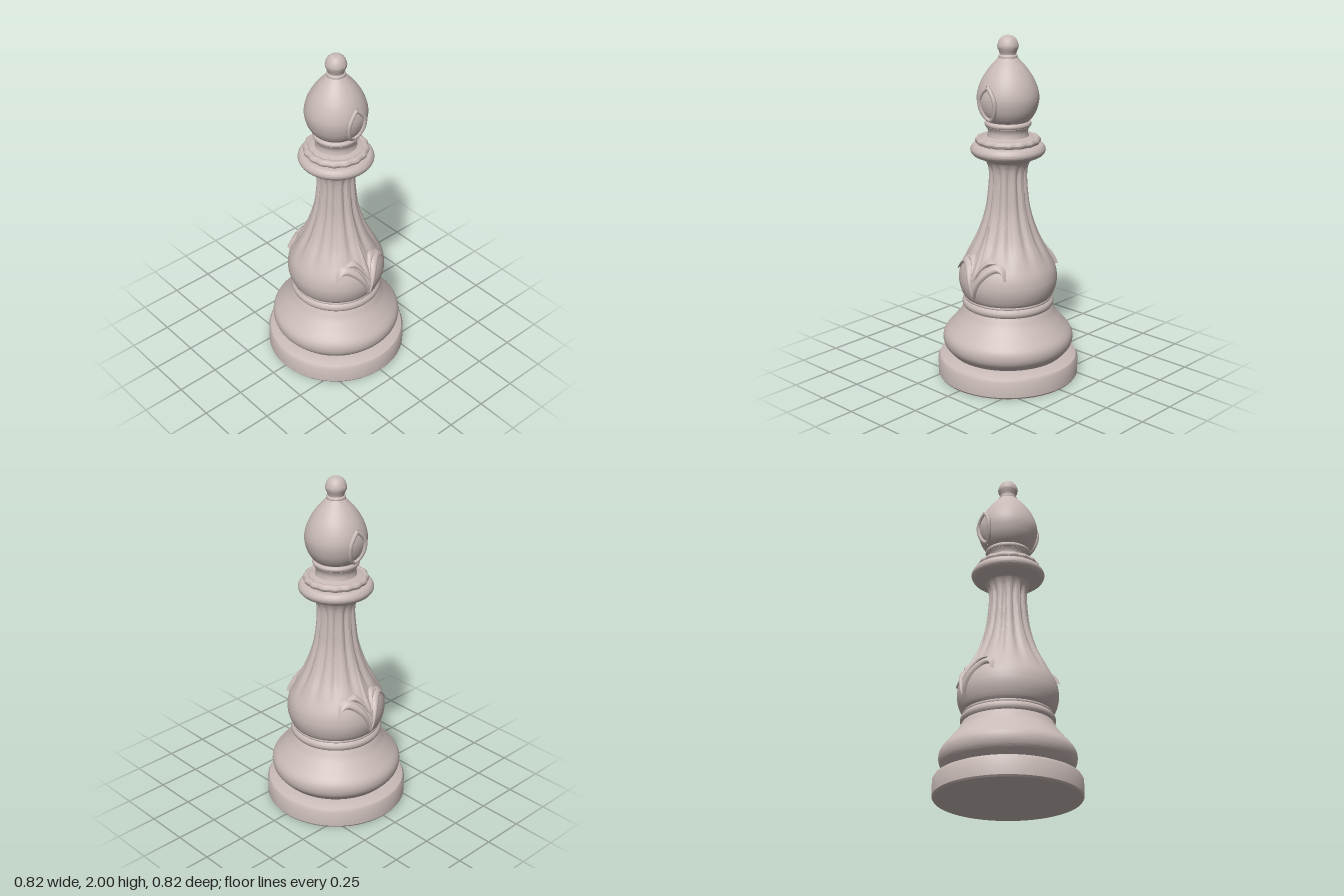
import * as THREE from 'three';
import { toCreasedNormals } from 'three/addons/utils/BufferGeometryUtils.js';

const stone = new THREE.MeshStandardMaterial({ color: 0xc9bbb7, side: THREE.DoubleSide });
stone.name = 'warm grey stone';

const v2 = ([r, y]) => new THREE.Vector2(r, y);
const smoothProfile = (pts, n = 60) => new THREE.SplineCurve(pts.map(v2)).getPoints(n);

// Radius of a profile at a given height
function radiusAt(profile, y) {
  for (let i = 1; i < profile.length; i++) {
    const a = profile[i - 1], b = profile[i];
    if (y <= b.y) return THREE.MathUtils.mapLinear(Math.max(y, a.y), a.y, b.y, a.x, b.x);
  }
  return profile[profile.length - 1].x;
}

// Point on the front of a turned surface, lifted outward
function onSurface(profile, x, y, lift) {
  const r = radiusAt(profile, y) + lift;
  return new THREE.Vector3(x, y, Math.sqrt(Math.max(r * r - x * x, 0)));
}

export function createModel() {
  const model = new THREE.Group();
  const add = (name, geometry, parent = model) => {
    const mesh = new THREE.Mesh(geometry, stone);
    mesh.name = name;
    parent.add(mesh);
    return mesh;
  };
  const turned = (name, pts) => add(name, toCreasedNormals(new THREE.LatheGeometry(pts, 80), 0.6));
  const ring = (name, R, r, y, squash = 1) => {
    const g = new THREE.TorusGeometry(R, r, 14, 80).rotateX(Math.PI / 2).scale(1, squash, 1);
    return add(name, g.translate(0, y, 0));
  };

  // Base slab and swelling foot
  turned('baseSlab', [[0, 0], [0.405, 0], [0.412, 0.01], [0.412, 0.1], [0.402, 0.118],
    [0.375, 0.13], [0.33, 0.14], [0, 0.14]].map(v2));
  turned('foot', smoothProfile([[0.32, 0.13], [0.345, 0.155], [0.372, 0.19], [0.381, 0.23],
    [0.37, 0.27], [0.325, 0.325], [0.285, 0.375], [0.265, 0.41], [0.252, 0.435]]));
  turned('footCore', [[0.25, 0.42], [0.25, 0.5]].map(v2));
  ring('footRing', 0.237, 0.03, 0.45);
  ring('footBead', 0.243, 0.012, 0.482);

  // Fluted vase-shaped body
  const body = smoothProfile([[0.245, 0.48], [0.266, 0.51], [0.282, 0.56], [0.285, 0.61], [0.272, 0.67],
    [0.232, 0.75], [0.184, 0.84], [0.149, 0.93], [0.125, 1.02], [0.113, 1.11], [0.107, 1.19],
    [0.111, 1.25], [0.13, 1.295], [0.16, 1.32]], 90);
  const bodyGeo = new THREE.LatheGeometry(body, 144);
  const p = bodyGeo.attributes.position;
  for (let i = 0; i < p.count; i++) {
    const x = p.getX(i), y = p.getY(i), z = p.getZ(i), a = Math.atan2(x, z);
    const fade = THREE.MathUtils.smoothstep(y, 0.66, 0.84) * (1 - THREE.MathUtils.smoothstep(y, 1.2, 1.31));
    const groove = Math.pow(0.5 - 0.5 * Math.cos(12 * a), 2);
    const k = 1 + fade * (0.004 - 0.014 * groove) / Math.hypot(x, z);
    p.setXYZ(i, x * k, y, z * k);
  }
  add('flutedBody', toCreasedNormals(bodyGeo, 0.9));

  // Flange, beaded ring and neck
  turned('flange', smoothProfile([[0.13, 1.295], [0.165, 1.312], [0.198, 1.328], [0.213, 1.352],
    [0.207, 1.375], [0.185, 1.39], [0.1, 1.395]]));
  const beads = ring('beadedRing', 0.162, 0.021, 1.41);
  const bp = beads.geometry.attributes.position;
  for (let i = 0; i < bp.count; i++) {
    const x = bp.getX(i), z = bp.getZ(i);
    const k = 1 + 0.018 * Math.cos(16 * Math.atan2(x, z));
    bp.setX(i, x * k);
    bp.setZ(i, z * k);
  }
  beads.geometry.computeVertexNormals();
  turned('neck', [[0.16, 1.39], [0.155, 1.425], [0.118, 1.435], [0.112, 1.455], [0.115, 1.475],
    [0.125, 1.49], [0.115, 1.53]].map(v2));
  ring('neckRing', 0.116, 0.016, 1.505);

  // Drop-shaped head, collar and finial
  const head = smoothProfile([[0.11, 1.515], [0.137, 1.54], [0.162, 1.585], [0.175, 1.645], [0.168, 1.7],
    [0.144, 1.76], [0.108, 1.815], [0.073, 1.855], [0.05, 1.88]]);
  turned('head', head);
  ring('collar', 0.04, 0.014, 1.882);
  turned('finial', smoothProfile([[0.042, 1.88], [0.048, 1.905], [0.058, 1.93], [0.058, 1.95],
    [0.046, 1.978], [0.025, 1.995], [0, 2.0]], 30));

  // Raised leaf patch between two edge curves on the body
  function leafGeometry(lower, upper, height, sign) {
    const lo = new THREE.SplineCurve(lower.map(v2)), up = new THREE.SplineCurve(upper.map(v2));
    const nu = 24, nv = 8, pos = [], idx = [];
    for (let i = 0; i <= nu; i++) {
      const a = lo.getPoint(i / nu), b = up.getPoint(i / nu);
      for (let j = 0; j <= nv; j++) {
        const t = j / nv, q = a.clone().lerp(b, t);
        const lift = height * Math.pow(Math.sin(Math.PI * t), 0.7) - 0.004;
        pos.push(...onSurface(body, sign * q.x, q.y, lift).toArray());
        if (i < nu && j < nv) {
          const k = i * (nv + 1) + j, m = k + nv + 1;
          if (sign > 0) idx.push(k, m, k + 1, m, m + 1, k + 1);
          else idx.push(k, k + 1, m, m, k + 1, m + 1);
        }
      }
    }
    const g = new THREE.BufferGeometry();
    g.setAttribute('position', new THREE.Float32BufferAttribute(pos, 3));
    g.setIndex(idx);
    g.computeVertexNormals();
    return g;
  }

  // Ornaments repeat on the front and the back
  for (const side of ['front', 'back']) {
    const group = new THREE.Group();
    group.name = side + 'Ornament';
    group.rotation.y = side === 'front' ? 0 : Math.PI;
    model.add(group);
    for (const s of [1, -1]) {
      add('curledLeaf', leafGeometry(
        [[0, 0.52], [0.035, 0.6], [0.075, 0.66], [0.12, 0.695], [0.155, 0.69], [0.182, 0.66]],
        [[0, 0.56], [0.02, 0.65], [0.055, 0.715], [0.11, 0.75], [0.155, 0.725], [0.182, 0.66]], 0.024, s), group);
      add('innerLeaf', leafGeometry(
        [[0.005, 0.62], [0.03, 0.685], [0.065, 0.725], [0.115, 0.745]],
        [[0.005, 0.66], [0.022, 0.72], [0.06, 0.765], [0.115, 0.75]], 0.021, s), group);
    }
    add('centreSpike', leafGeometry(
      [[0.002, 0.54], [0.02, 0.64], [0.018, 0.76], [0.002, 0.93]],
      [[-0.002, 0.54], [-0.02, 0.64], [-0.018, 0.76], [-0.002, 0.93]], 0.018, 1), group);

    // Pointed almond rim on the head
    const half = [[0, 1.728], [0.032, 1.7], [0.056, 1.655], [0.05, 1.595], [0.028, 1.555], [0, 1.54]];
    for (const s of [1, -1]) {
      const path = new THREE.CatmullRomCurve3(half.map(([x, y]) => onSurface(head, s * x, y, 0.005)));
      add('almondRim', new THREE.TubeGeometry(path, 30, 0.012, 8), group);
    }
  }
  return model;
}
